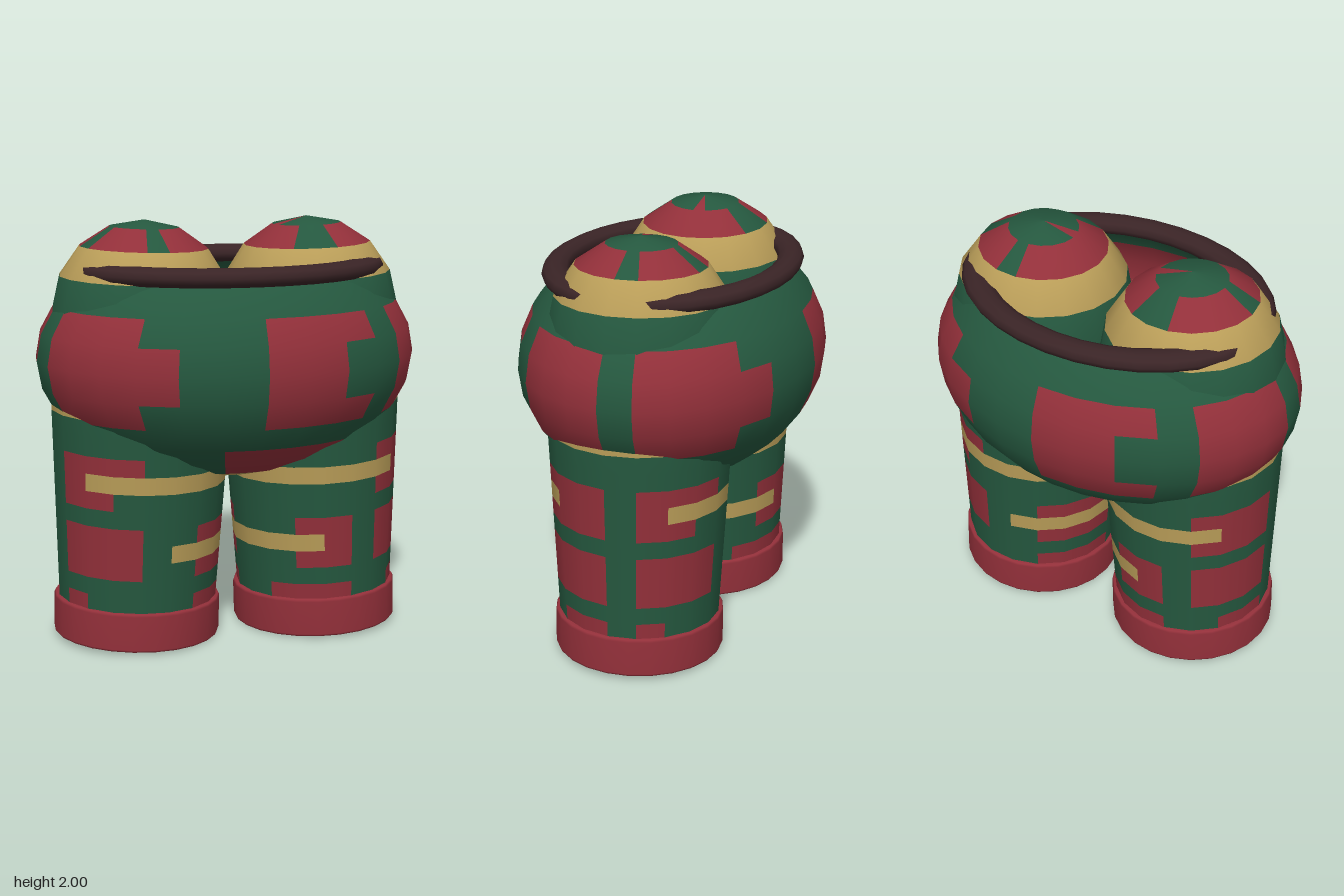
import * as THREE from 'three';

const RED = 0, GREEN = 1, GOLD = 2;

function makeMaterials() {
  const make = (name, color) => {
    const m = new THREE.MeshStandardMaterial({ color, side: THREE.DoubleSide });
    m.name = name;
    return m;
  };
  return {
    red: make('red cloth', 0x93303a),
    green: make('green cloth', 0x25583f),
    gold: make('gold trim', 0xb99d58),
    brown: make('brown belt', 0x3a2426),
  };
}

// Closed ring surface: one cell per column and row, grouped by the colour rule
function cellSurface(cols, rows, point, colour) {
  const pos = [], sets = [[], [], []];
  for (let j = 0; j <= rows; j++)
    for (let i = 0; i < cols; i++) pos.push(...point(i, j));
  for (let j = 0; j < rows; j++)
    for (let i = 0; i < cols; i++) {
      const n = (i + 1) % cols;
      const a = j * cols + i, b = j * cols + n;
      const c = b + cols, d = a + cols;
      sets[colour(i, j)].push(a, b, c, a, c, d);
    }
  const geo = new THREE.BufferGeometry();
  geo.setAttribute('position', new THREE.Float32BufferAttribute(pos, 3));
  geo.setIndex(sets.flat());
  let start = 0;
  sets.forEach((s, k) => {
    if (s.length) geo.addGroup(start, s.length, k);
    start += s.length;
  });
  geo.computeVertexNormals();
  return geo;
}

// Hips: ellipsoid open at the waist, pattern repeats every half turn
function hipsGeometry() {
  const step = Math.PI / 14;
  const colour = (i, j) => {
    const c = i % 14;
    if (j < 2) return GOLD;
    if (j < 4) return c === 13 || c <= 4 ? RED : GREEN;
    if (j < 5 || j > 8) return GREEN;
    const middle = j === 6 || j === 7;
    if (c === 2) return middle ? GREEN : RED;
    if (c === 11) return middle ? RED : GREEN;
    return c < 2 || (c >= 4 && c <= 6) || (c >= 8 && c <= 10) ? RED : GREEN;
  };
  const point = (i, j) => {
    const lat = Math.min(-Math.PI / 2 + j * step, 0.82);
    const r = Math.cos(lat), a = i * step;
    return [0.92 * r * Math.sin(a), 1.35 + 0.583 * Math.sin(lat), 0.7 * r * Math.cos(a)];
  };
  return cellSurface(28, 11, point, colour);
}

// Colour of a leg cell; deg is the angle of the cell centre, from the front outwards
function legColour(i, j) {
  const deg = 20 + i * 20;
  const within = (a, b) => (deg > a && deg < b) || (deg + 360 > a && deg + 360 < b) || (deg - 360 > a && deg - 360 < b);
  const panel = within(30, 90) || within(110, 170);
  switch (j) {
    case 0: case 1: return panel || within(210, 270) ? RED : GREEN;
    case 2: return within(50, 90) || within(110, 130) || within(210, 270) || within(310, 370) ? RED : GREEN;
    case 5: if (within(190, 350)) return GOLD;
    // falls through
    case 4: case 6: return panel || within(210, 270) || within(-30, 10) ? RED : GREEN;
    case 8: return within(30, 90) || within(110, 150) ? RED : GREEN;
    case 9: return within(130, 410) ? GOLD : panel ? RED : GREEN;
    case 10: return panel ? RED : GREEN;
    case 13: return GOLD;
    case 20: return GOLD;
    case 21: return within(90, 110) || within(170, 190) || within(-30, 10) ? GREEN : RED;
    case 22: return within(270, 290) ? RED : GREEN;
    default: return GREEN;
  }
}

// Leg: open tapered tube with a domed top
function legGeometry() {
  const rings = [];
  for (let k = 0; k <= 18; k++) {
    const y = 0.02 + k / 12;
    rings.push([0.372 + 0.058 * Math.min(1, y / 1.1), y]);
  }
  for (let k = 0; k <= 4; k++) {
    const a = (k * Math.PI) / 8;
    rings.push([0.43 * Math.cos(a), 1.565 + 0.433 * Math.sin(a)]);
  }
  const point = (i, j) => {
    const a = ((10 + i * 20) * Math.PI) / 180;
    const [r, y] = rings[j];
    return [r * Math.sin(a), y, r * Math.cos(a)];
  };
  return cellSurface(18, rings.length - 1, point, legColour);
}

// Cuff: short band with a rim around the leg opening
function cuffGeometry() {
  const profile = [[0.368, 0.012], [0.375, 0], [0.396, 0], [0.401, 0.01], [0.401, 0.172], [0.396, 0.183], [0.378, 0.185]];
  return new THREE.LatheGeometry(profile.map(([x, y]) => new THREE.Vector2(x, y)), 24);
}

export function createModel() {
  const mats = makeMaterials();
  const cloth = [mats.red, mats.green, mats.gold];
  const model = new THREE.Group();
  model.name = 'trousers';

  const add = (parent, name, geo, mat) => {
    const mesh = new THREE.Mesh(geo, mat);
    mesh.name = name;
    parent.add(mesh);
    return mesh;
  };

  add(model, 'hips', hipsGeometry(), cloth);

  // Belt: oval ring around the waist
  const ring = new THREE.TorusGeometry(0.525, 0.06, 10, 32).rotateX(Math.PI / 2).scale(1.314, 0.75, 1);
  add(model, 'belt', ring, mats.brown).position.y = 1.775;

  // Two legs, the second turned half around
  const legGeo = legGeometry(), cuffGeo = cuffGeometry();
  ['left', 'right'].forEach((side, k) => {
    const turn = new THREE.Group();
    turn.name = side + 'Leg';
    turn.rotation.y = k * Math.PI;
    const tilt = new THREE.Group();
    tilt.name = side + 'LegTilt';
    tilt.position.set(0.458, 0.014, 0);
    tilt.rotation.z = 0.03;
    add(tilt, side + 'LegTube', legGeo, cloth).position.y = -0.012;
    add(tilt, side + 'Cuff', cuffGeo, mats.red);
    turn.add(tilt);
    model.add(turn);
  });
  return model;
}
